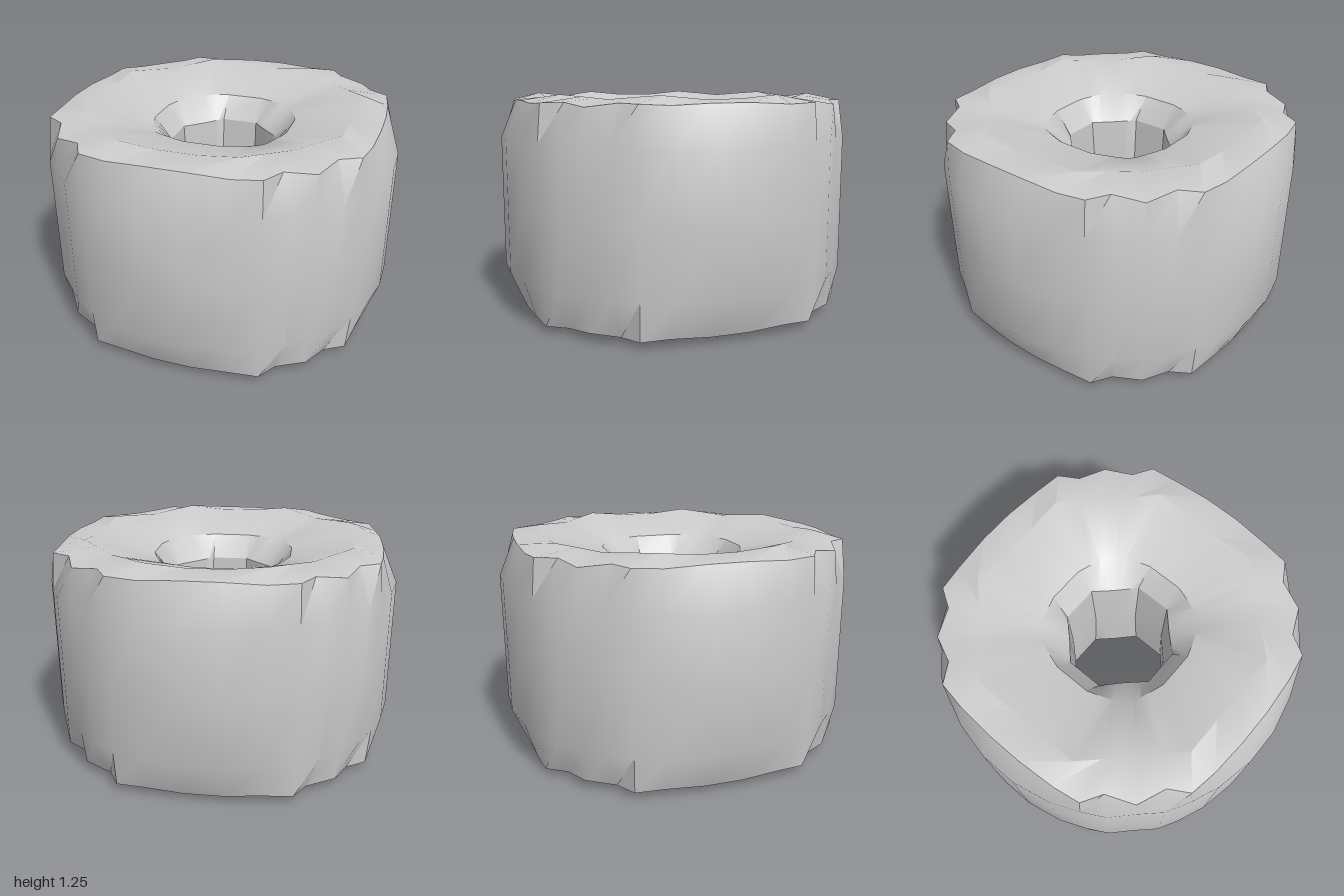
import * as THREE from 'three';
import { toCreasedNormals } from 'three/addons/utils/BufferGeometryUtils.js';

const HEIGHT = 1.245;

// One eighth of each horizontal ring, from the flat side to the diagonal: [across, outward, y]
const level = (y, pts) => pts.map(([a, b]) => [a, b, y]);
const side = [[0.105, 1], [0.32, 0.955], [0.48, 0.888], [0.605, 0.82], [0.71, 0.71]];
const funnelEdge = [[0.105, 0.395], [0.18, 0.37], [0.24, 0.347], [0.28, 0.33], [0.31, 0.31]];
const bore = (r, d) => [0, 0.25, 0.5, 0.75, 1].map(t => [0.105 + (d - 0.105) * t, r + (d - r) * t]);

const upperHalf = [
  level(1.0, side),
  // outer rim, notched towards the diagonals
  [[0.105, 0.91, 1.21], [0.32, 0.895, 1.2], [0.475, 0.87, 1.207], [0.54, 0.76, 1.21], [0.695, 0.695, 1.19]],
  // raised octagonal crest
  [[0.105, 0.74, 1.225], [0.32, 0.74, HEIGHT], [0.42, 0.64, 1.235], [0.48, 0.58, 1.228], [0.53, 0.53, 1.222]],
  level(1.13, funnelEdge),
  level(1.0, bore(0.3, 0.2)),
];

// The lower half mirrors the upper; a middle ring closes the outer wall and the bore
const lowerHalf = upperHalf.map(ring => ring.map(([a, b, y]) => [a, b, HEIGHT - y])).reverse();
const rings = [
  level(HEIGHT / 2, side), ...upperHalf,
  level(HEIGHT / 2, bore(0.28, 0.19)), ...lowerHalf,
];

// Mirror an eighth over its diagonal, then turn the quarter around four times
function fullRing(eighth) {
  const quarter = [...eighth, ...eighth.slice(0, -1).reverse().map(([a, b, y]) => [b, a, y])];
  const out = [];
  for (let q = 0; q < 4; q++) {
    const c = [1, 0, -1, 0][q], s = [0, 1, 0, -1][q];
    for (const [x, z, y] of quarter) out.push([x * c + z * s, y, z * c - x * s]);
  }
  return out;
}

function ringBody() {
  const loops = rings.map(fullRing);
  const n = loops[0].length;
  const index = [];
  for (let j = 0; j < loops.length; j++) {
    const next = (j + 1) % loops.length;
    for (let k = 0; k < n; k++) {
      const m = (k + 1) % n;
      const a = j * n + k, b = j * n + m, c = next * n + m, d = next * n + k;
      index.push(a, b, c, a, c, d);
    }
  }
  const geo = new THREE.BufferGeometry();
  geo.setAttribute('position', new THREE.Float32BufferAttribute(loops.flat(2), 3));
  geo.setIndex(index);
  return toCreasedNormals(geo, THREE.MathUtils.degToRad(30));
}

export function createModel() {
  const group = new THREE.Group();
  group.name = 'thickRing';
  const body = new THREE.Mesh(ringBody(), new THREE.MeshStandardMaterial({ color: 0xcccccc }));
  body.name = 'ringBody';
  group.add(body);
  return group;
}
